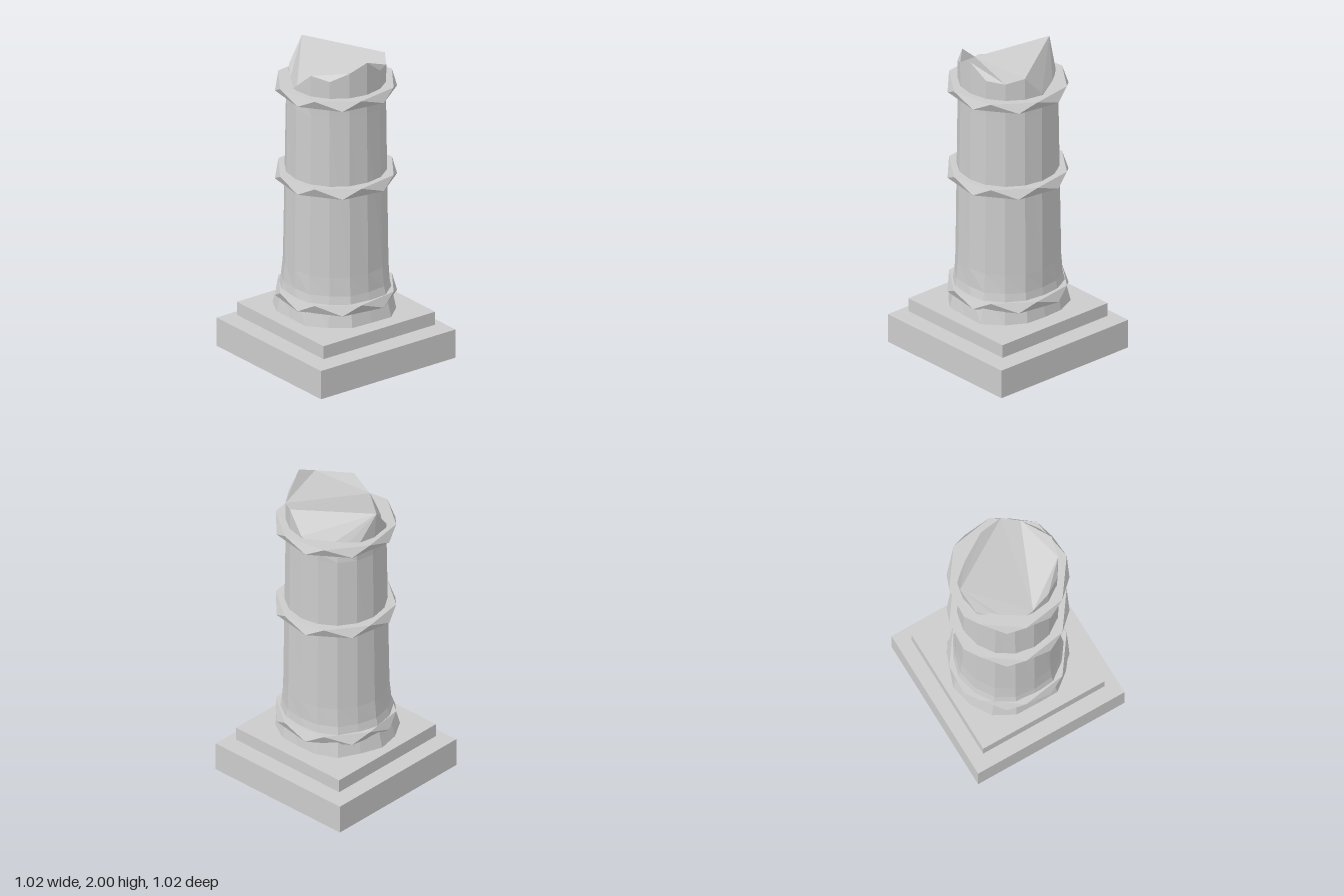
import * as THREE from 'three';

const material = new THREE.MeshStandardMaterial({ color: 0xcccccc, flatShading: true });

// Point on a ring: angle runs from +x towards +z
const ringPoint = (degrees, radius, y) => {
  const a = THREE.MathUtils.degToRad(degrees);
  return [radius * Math.cos(a), y, radius * Math.sin(a)];
};

// Skin between stacked cross-sections (lowest first), with a flat bottom cap
// and a top cap made from the given index triples
function loft(name, sections, topFaces) {
  const n = sections[0].length;
  const last = (sections.length - 1) * n;
  const index = [];
  for (let s = 0; s < sections.length - 1; s++) {
    for (let i = 0; i < n; i++) {
      const j = (i + 1) % n;
      const a = s * n + i, b = s * n + j, c = b + n, d = a + n;
      index.push(a, d, c, a, c, b);
    }
  }
  for (let i = 1; i < n - 1; i++) index.push(0, i, i + 1);
  for (const [a, b, c] of topFaces) index.push(last + a, last + c, last + b);
  const geometry = new THREE.BufferGeometry();
  geometry.setAttribute('position', new THREE.Float32BufferAttribute(sections.flat(2), 3));
  geometry.setIndex(index);
  const flat = geometry.toNonIndexed();
  flat.computeVertexNormals();
  const mesh = new THREE.Mesh(flat, material);
  mesh.name = name;
  return mesh;
}

function slab(name, width, bottom, top) {
  const mesh = new THREE.Mesh(new THREE.BoxGeometry(width, top - bottom, width), material);
  mesh.position.y = (bottom + top) / 2;
  mesh.name = name;
  return mesh;
}

// Twisted eight-sided band with a zigzag of triangles round its edge
function band(name, bottom, top) {
  const lower = [], upper = [], cap = [];
  for (let i = 0; i < 8; i++) {
    lower.push(ringPoint(31.7 + i * 45, 0.37, bottom));
    upper.push(ringPoint(13.3 + i * 45, 0.37, top));
    if (i > 0 && i < 7) cap.push([0, i, i + 1]);
  }
  return loft(name, [lower, upper], cap);
}

// Sixteen-sided shaft with a chipped foot and a broken, jagged top
function brokenShaft() {
  const foot = [0.35, 0.37, 0.36, 0.372, 0.345, 0.372, 0.385, 0.38,
    0.382, 0.36, 0.378, 0.355, 0.335, 0.355, 0.365, 0.383];
  const rimHeight = [2.0, 1.95, 1.9, 1.925, 1.825, 1.73, 1.76, 1.82,
    1.965, 1.76, 1.72, 1.72, 1.8, 1.93, 1.9, 1.91];
  const rimRadius = { 4: 0.297, 6: 0.28, 7: 0.325, 8: 0.335, 9: 0.312, 10: 0.295 };
  const section = (radius, y) => foot.map((_, i) => ringPoint(i * 22.5, radius(i), y(i)));
  const broken = [
    [4, 8, 13], [4, 13, 14], [1, 4, 14],          // large sloping break
    [14, 15, 0], [14, 0, 1], [1, 2, 3], [1, 3, 4], // right-hand spur
    [4, 5, 8], [5, 6, 8], [6, 7, 8],               // front chip
    [8, 9, 10], [8, 10, 11], [8, 11, 12], [8, 12, 13] // back chip
  ];
  return loft('brokenShaft', [
    section(i => foot[i], () => 0.31),
    section(i => 0.318 + (foot[i] - 0.35) * 0.45, () => 0.5),
    section(i => 0.315 + (foot[i] - 0.35) * 0.2, () => 0.62),
    section(() => 0.304, () => 1.66),
    section(i => rimRadius[i] ?? 0.305, i => rimHeight[i])
  ], broken);
}

export function createModel() {
  const model = new THREE.Group();
  model.name = 'brokenColumn';
  model.add(
    slab('plinth', 1.024, 0, 0.185),
    slab('upperStep', 0.85, 0.21, 0.295),
    brokenShaft(),
    band('lowerBand', 0.39, 0.45),
    band('middleBand', 1.155, 1.215),
    band('upperBand', 1.732, 1.79)
  );
  return model;
}
